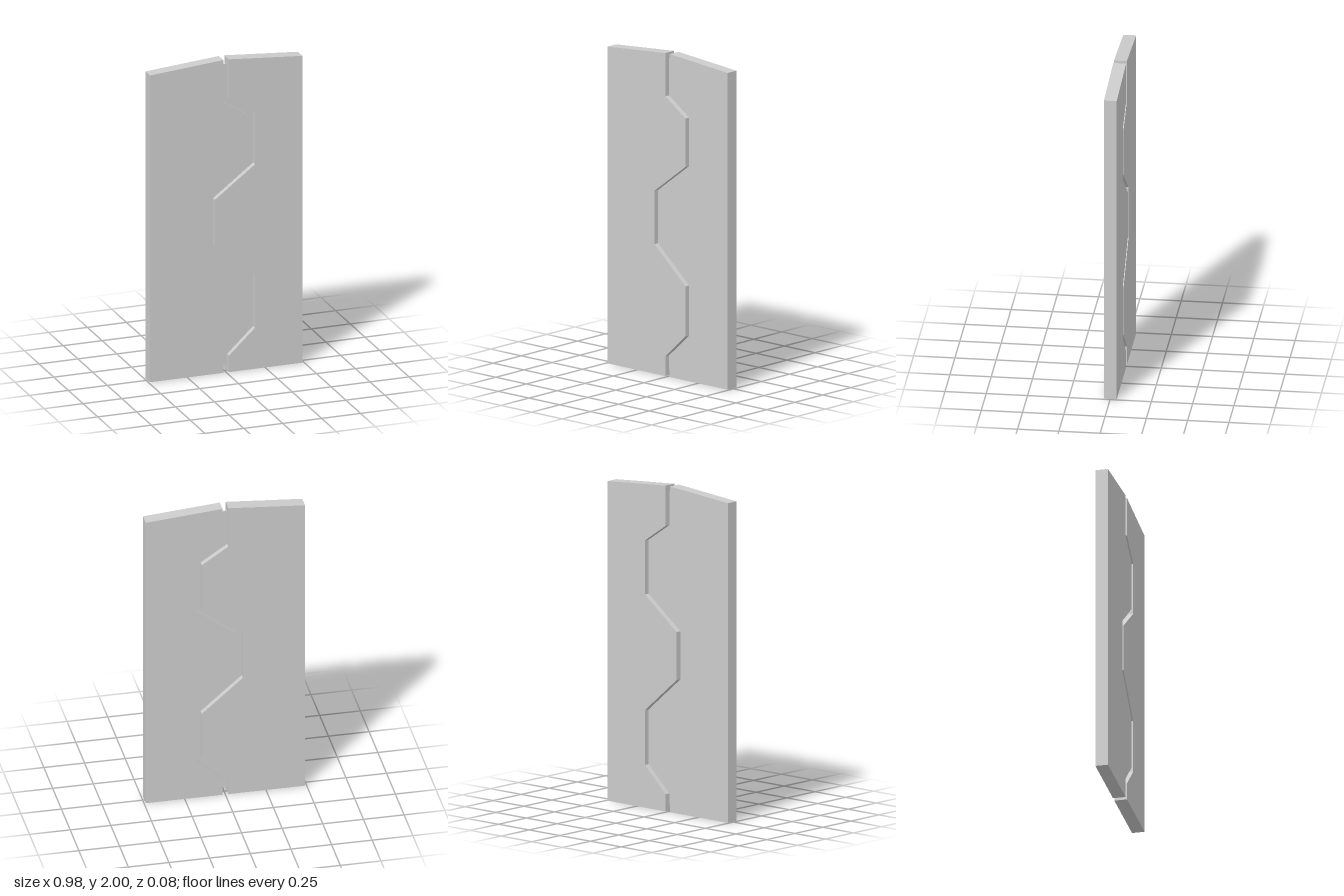
import * as THREE from 'three';

const W = 0.49, DEPTH = 0.078;

// Facing edges of the two leaves, top to bottom
const leftEdge = [[-0.019, 1.732], [0.145, 1.622], [0.145, 1.322], [-0.108, 1.132],
  [-0.108, 0.802], [0.145, 0.582], [0.145, 0.272], [-0.019, 0.122]];
const rightEdge = [[0.017, 1.752], [0.185, 1.64], [0.185, 1.308], [-0.073, 1.113],
  [-0.073, 0.818], [0.185, 0.598], [0.185, 0.262], [0.017, 0.105]];

function slab(name, points, depth, material) {
  const shape = new THREE.Shape(points.map(([x, y]) => new THREE.Vector2(x, y)));
  const geometry = new THREE.ExtrudeGeometry(shape, { depth, bevelEnabled: false });
  geometry.translate(0, 0, -depth / 2);
  const mesh = new THREE.Mesh(geometry, material);
  mesh.name = name;
  return mesh;
}

// Interlocking edge carried straight up and down to the given heights
const extend = (edge, top, bottom) =>
  [[edge[0][0], top], ...edge, [edge[edge.length - 1][0], bottom]];

// Door leaf: sloped top, straight outer side, zigzag inner side
const leaf = (name, edge, outerX, material) =>
  slab(name, [[outerX, 0], [outerX, 1.962], ...extend(edge, 2, 0)], DEPTH, material);

export function createModel() {
  const group = new THREE.Group();
  group.name = 'slidingDoor';
  const material = new THREE.MeshStandardMaterial({ color: 0xcccccc, flatShading: true });

  group.add(leaf('rightLeaf', leftEdge, -W, material));
  group.add(leaf('leftLeaf', rightEdge, W, material));

  // Thin recessed strip filling the gap between the leaves
  const strip = [...extend(leftEdge, 1.962, 0.038), ...extend(rightEdge, 1.962, 0.038).reverse()];
  group.add(slab('seamStrip', strip, 0.01, material));
  return group;
}
